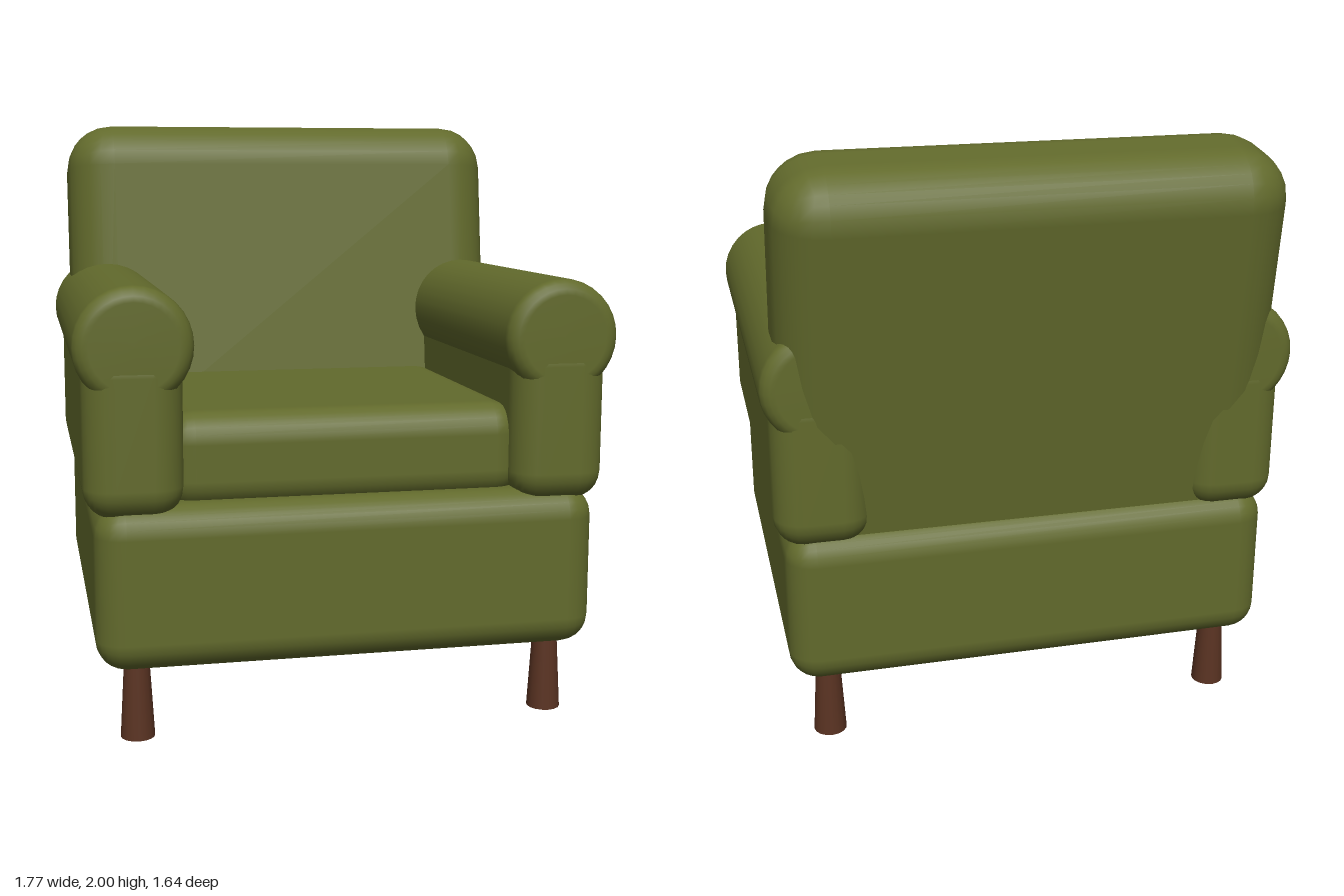
import * as THREE from 'three';
import { RoundedBoxGeometry } from 'three/addons/geometries/RoundedBoxGeometry.js';

export function createModel() {
  const chair = new THREE.Group();
  chair.name = 'armchair';

  const fabric = new THREE.MeshStandardMaterial({ color: 0x626a2c });
  fabric.name = 'olive fabric';
  const wood = new THREE.MeshStandardMaterial({ color: 0x5a3322 });
  wood.name = 'dark wood';

  const add = (name, geometry, material, x, y, z) => {
    const mesh = new THREE.Mesh(geometry, material);
    mesh.name = name;
    mesh.position.set(x, y, z);
    chair.add(mesh);
    return mesh;
  };

  // Padded block given by its lower and upper limits on each axis
  const pad = (name, [x0, x1], [y0, y1], [z0, z1], radius) =>
    add(name, new RoundedBoxGeometry(x1 - x0, y1 - y0, z1 - z0, 3, radius), fabric,
      (x0 + x1) / 2, (y0 + y1) / 2, (z0 + z1) / 2);

  pad('base', [-0.83, 0.83], [0.24, 0.78], [-0.72, 0.82], 0.1);
  pad('seatCushion', [-0.6, 0.6], [0.74, 1.06], [-0.5, 0.74], 0.1);

  // Thick backrest leaning backwards
  const back = add('backrest', new RoundedBoxGeometry(1.66, 1.39, 0.45, 3, 0.17), fabric, 0, 1.3, -0.522);
  back.rotation.x = -0.14;

  // Arm roll: a cylinder with softened rims, laid along z
  const r = 0.19, half = 0.77, bevel = 0.05;
  const profile = [new THREE.Vector2(0, -half)];
  for (const end of [-1, 1]) {
    for (let i = 0; i <= 4; i++) {
      const a = ((end < 0 ? i : 4 - i) / 4) * Math.PI / 2;
      profile.push(new THREE.Vector2(
        r - bevel + bevel * Math.sin(a),
        end * (half - bevel + bevel * Math.cos(a))));
    }
  }
  profile.push(new THREE.Vector2(0, half));
  const rollGeometry = new THREE.LatheGeometry(profile, 32);
  rollGeometry.rotateX(Math.PI / 2);

  // Tapered leg, wider at the foot
  const legGeometry = new THREE.CylinderGeometry(0.041, 0.056, 0.26, 16);

  for (const [side, s] of [['left', 1], ['right', -1]]) {
    const arm = pad(side + 'Arm', [0.54, 0.86], [0.735, 1.29], [-0.722, 0.822], 0.1);
    arm.position.x *= s;
    add(side + 'ArmRoll', rollGeometry, fabric, s * 0.697, 1.285, 0.05);
    add(side + 'FrontLeg', legGeometry, wood, s * 0.697, 0.13, 0.695);
    add(side + 'BackLeg', legGeometry, wood, s * 0.697, 0.13, -0.585);
  }

  return chair;
}
